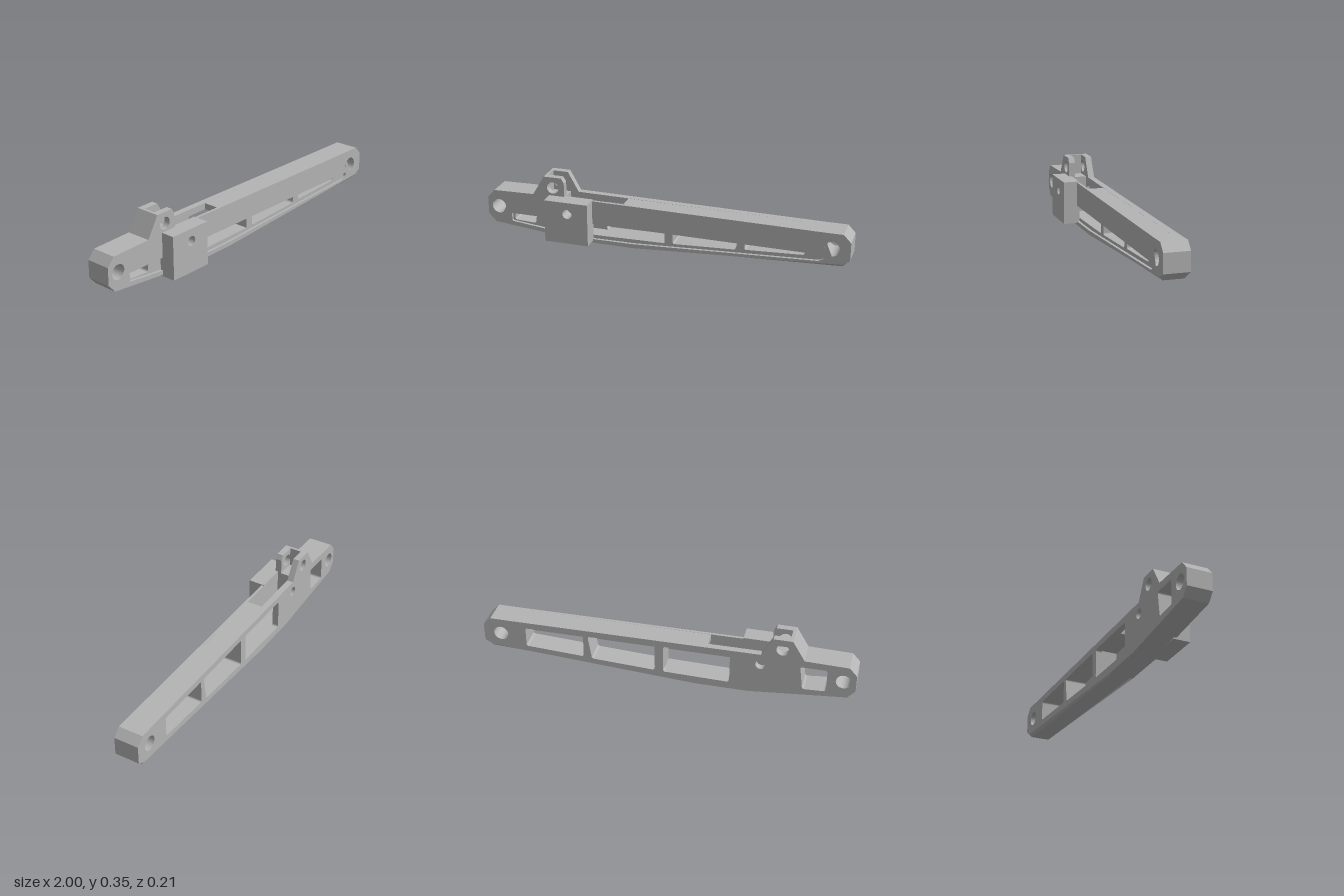
import * as THREE from 'three';

const grey = new THREE.MeshStandardMaterial({ color: 0xb4b4b4 });
grey.name = 'plain grey';

// closed path with corners rounded by radius r
function trace(path, pts, r = 0) {
  const v = pts.map(p => new THREE.Vector2(p[0], p[1]));
  v.forEach((p, i) => {
    if (!r) { i ? path.lineTo(p.x, p.y) : path.moveTo(p.x, p.y); return; }
    const a = v[(i + v.length - 1) % v.length], b = v[(i + 1) % v.length];
    const s = p.clone().add(a.clone().sub(p).setLength(r));
    const e = p.clone().add(b.clone().sub(p).setLength(r));
    i ? path.lineTo(s.x, s.y) : path.moveTo(s.x, s.y);
    path.quadraticCurveTo(p.x, p.y, e.x, e.y);
  });
  path.closePath();
  return path;
}
const opening = (pts, r = 0.013) => trace(new THREE.Path(), pts, r);
const bore = (x, y, r) => new THREE.Path().absarc(x, y, r, 0, Math.PI * 2, true);

// plate cut from an outline between two depths
function plate(name, pts, holes, z0, z1) {
  const shape = trace(new THREE.Shape(), pts);
  shape.holes.push(...holes);
  const geo = new THREE.ExtrudeGeometry(shape, { depth: z1 - z0, bevelEnabled: false, curveSegments: 16 });
  geo.translate(0, 0, z0);
  const mesh = new THREE.Mesh(geo, grey);
  mesh.name = name;
  return mesh;
}

// raise the lower outer edge of a skin to make its long chamfer
function chamfer(mesh, zOuter) {
  const p = mesh.geometry.attributes.position;
  for (let i = 0; i < p.count; i++) {
    const x = p.getX(i), y = p.getY(i);
    const line = 0.003 + (x + 0.154) / 1.114 * 0.052;
    if (Math.abs(p.getZ(i) - zOuter) < 1e-4 && x > -0.1545 && x < 0.97 && y < line + 0.002) p.setY(i, y + 0.015);
  }
  mesh.geometry.computeVertexNormals();
  return mesh;
}

export function createModel() {
  const model = new THREE.Group();
  model.name = 'slottedArm';

  // shared outline runs
  const bottom = [[-1, 0.195], [-1, 0.1], [-0.96, 0.055], [-0.44, 0.003], [-0.155, 0.003],
    [-0.154, 0.003], [0.96, 0.055], [1, 0.095], [1, 0.195], [0.96, 0.237], [0.84, 0.237]];
  const topLeft = [[-0.73, 0.245], [-0.96, 0.24]];
  const flat = [...bottom, [-0.505, 0.247], ...topLeft];
  const eared = [...bottom, [-0.505, 0.247], [-0.565, 0.355], [-0.665, 0.355], ...topLeft];

  const ends = () => [bore(-0.935, 0.15, 0.04), bore(0.905, 0.15, 0.04)];
  const leftWindow = [[-0.85, 0.074], [-0.727, 0.068], [-0.71, 0.205], [-0.85, 0.205]];
  const firstWindow = [[-0.345, 0.044], [0.01, 0.05], [0.01, 0.21], [-0.345, 0.21]];
  const farWindows = [
    [[0.055, 0.052], [0.4, 0.068], [0.42, 0.205], [0.055, 0.208]],
    [[0.445, 0.074], [0.765, 0.09], [0.765, 0.203], [0.445, 0.205]],
  ];
  const far = () => [opening(leftWindow), ...farWindows.map(w => opening(w))];
  const backHoles = () => [...ends(), ...far(), opening(firstWindow),
    bore(-0.615, 0.295, 0.033), bore(-0.505, 0.185, 0.027)];

  // back wall with its ear
  model.add(chamfer(plate('backSkin', eared, backHoles(), -0.105, -0.09), -0.105));
  model.add(plate('backWall', eared, backHoles(), -0.09, -0.07));

  // core with the pocket open to the top
  const core = [...bottom, [-0.22, 0.244], [-0.22, 0.21], [0.01, 0.21], [0.01, 0.05],
    [-0.345, 0.044], [-0.55, 0.044], [-0.55, 0.245], ...topLeft];
  model.add(plate('core', core, [...ends(), ...far()], -0.07, 0.015));

  // front rim around the shallow recess
  const recess = [[-0.862, 0.07], [-0.44, 0.024], [-0.16, 0.026], [0.84, 0.074],
    [0.867, 0.09], [0.867, 0.21], [0.84, 0.226], [-0.38, 0.228], [-0.862, 0.212]];
  model.add(chamfer(plate('frontRim', flat, [...ends(), opening(recess, 0.01)], 0.015, 0.03), 0.03));

  // fork: front ear and the web joining both ears
  const ear = [[-0.73, 0.245], [-0.55, 0.245], [-0.55, 0.328], [-0.565, 0.355], [-0.665, 0.355]];
  model.add(plate('frontEar', ear, [bore(-0.615, 0.295, 0.033)], -0.005, 0.03));
  const web = [[-0.73, 0.245], [-0.65, 0.245], [-0.65, 0.355], [-0.665, 0.355]];
  model.add(plate('earWeb', web, [], -0.07, -0.005));

  // square block on the front
  const block = [[-0.637, 0.014], [-0.392, 0.014], [-0.392, 0.251], [-0.637, 0.251]];
  model.add(plate('frontBlock', block, [bore(-0.507, 0.185, 0.026)], 0.015, 0.105));

  return model;
}
